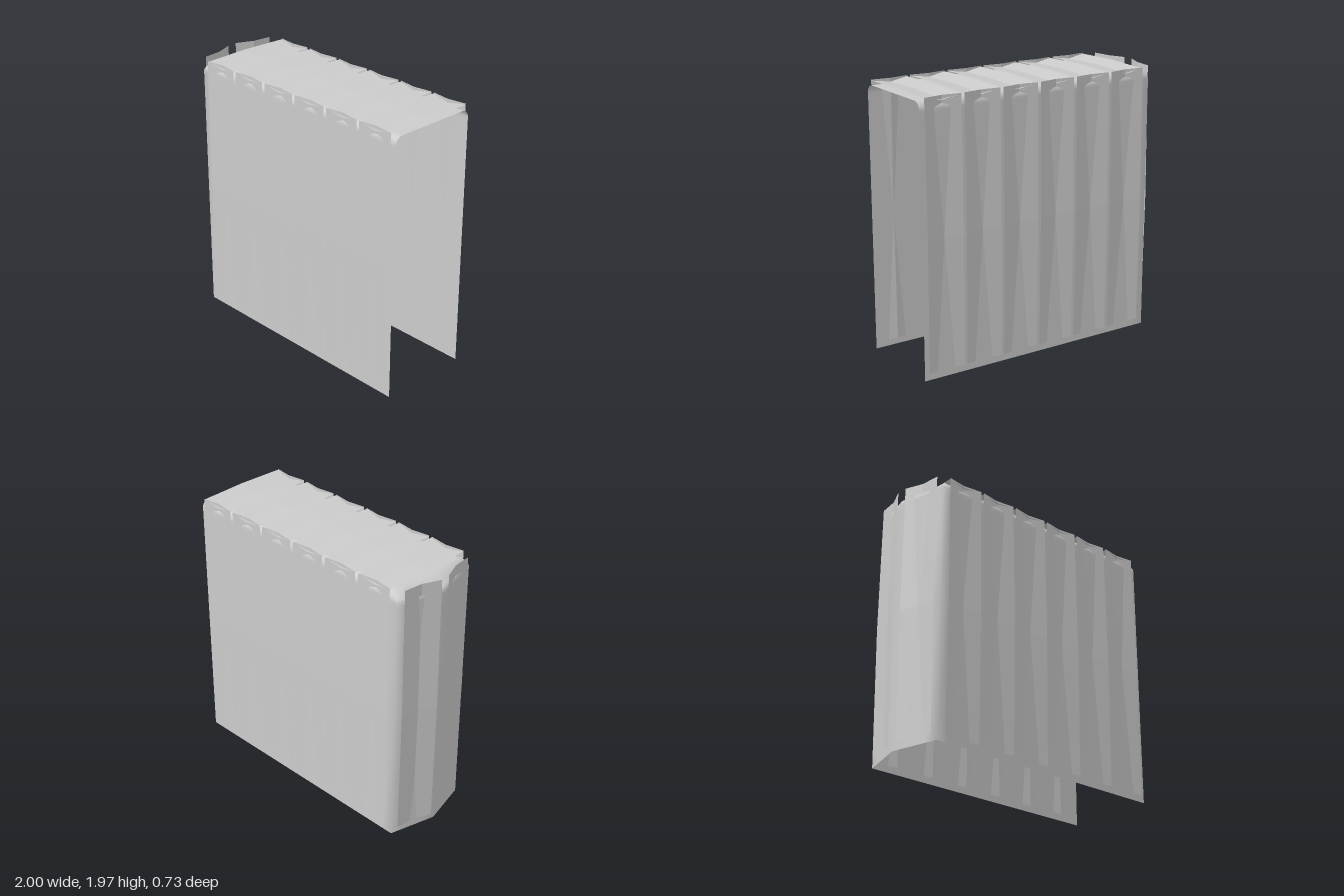
import * as THREE from 'three';

const smooth = new THREE.MeshStandardMaterial({ color: 0xcccccc, side: THREE.DoubleSide });
const faceted = new THREE.MeshStandardMaterial({ color: 0xcccccc, side: THREE.DoubleSide, flatShading: true });

// Sheet through a grid of points: rows[j][i] = [x, y, z]
function sheet(rows) {
  const n = rows[0].length, index = [];
  for (let j = 0; j < rows.length - 1; j++) {
    for (let i = 0; i < n - 1; i++) {
      const a = j * n + i, b = a + 1, c = a + n, d = c + 1;
      index.push(a, b, d, a, d, c);
    }
  }
  const geometry = new THREE.BufferGeometry();
  geometry.setAttribute('position', new THREE.Float32BufferAttribute(rows.flat(2), 3));
  geometry.setIndex(index);
  geometry.computeVertexNormals();
  return geometry;
}

// Open shell: two long walls, a pointed nose at -x, rounded upper edge, flat top
function shellGeometry() {
  // one ring of the shell; t runs from the upright wall (0) to the flat top (1)
  const ring = (y, t, width = 1) => {
    const inset = 1 - Math.cos(t * Math.PI / 2);
    const z = (0.345 - 0.06 * inset) * width;
    const corner = -0.89 + 0.06 * t, apex = -0.98 + 0.15 * t;
    const half = [[1, z], [-0.8, z], [corner, z]];
    for (const k of [0.25, 0.5, 0.75]) half.push([corner + (apex - corner) * k, z * (1 - k)]);
    const mirrored = half.map(([x, zz]) => [x, -zz]).reverse();
    // listed from the back wall round to the front so faces point outward
    return [...half, [apex, 0], ...mirrored].reverse().map(([x, zz]) => [x, y, zz]);
  };
  const rows = [ring(0, 0), ring(1, 0), ring(1.85, 0)];
  const steps = 8;
  for (let s = 0; s <= steps; s++) {
    const t = s / steps;
    rows.push(ring(1.88 + 0.06 * Math.sin(t * Math.PI / 2), t));
  }
  rows.push(ring(1.94, 1, 0.9), ring(1.94, 1, 0));
  return sheet(rows);
}

// Thin panel folded into a shallow V across and bowed outward at its middle
function panelGeometry(bottom, middle, top, bow) {
  const reach = middle - bottom;
  return sheet([bottom, middle, top].map((v) =>
    [-0.14, 0, 0.14].map((u) =>
      [u, v, 0.02 * Math.abs(u) / 0.14 - bow * Math.abs(v - middle) / reach])));
}

export function createModel() {
  const group = new THREE.Group();
  const add = (name, geometry, material, x = 0, y = 0, z = 0) => {
    const mesh = new THREE.Mesh(geometry, material);
    mesh.name = name;
    mesh.position.set(x, y, z);
    group.add(mesh);
    return mesh;
  };

  add('shell', shellGeometry(), smooth);

  const uprightPanel = panelGeometry(0.05, 1, 1.965, 0.01);
  const topPanel = panelGeometry(-0.35, 0, 0.35, 0.009);

  // Six bays, each with a front, back and top panel
  for (let i = 0; i < 6; i++) {
    const x = -0.69 + i * 0.3035;
    add('frontPanel', uprightPanel, faceted, x, 0, 0.345);
    add('backPanel', uprightPanel, faceted, x, 0, -0.345).rotation.y = Math.PI;
    add('topPanel', topPanel, faceted, x, 1.947, 0).rotation.x = -Math.PI / 2;
  }

  // Two panels on the nose faces
  for (const side of [1, -1]) {
    const panel = add('nosePanel', uprightPanel, faceted, side > 0 ? -0.935 : -0.942, 0, side * 0.17);
    panel.rotation.y = Math.atan2(-0.968, side * 0.252);
  }

  return group;
}
